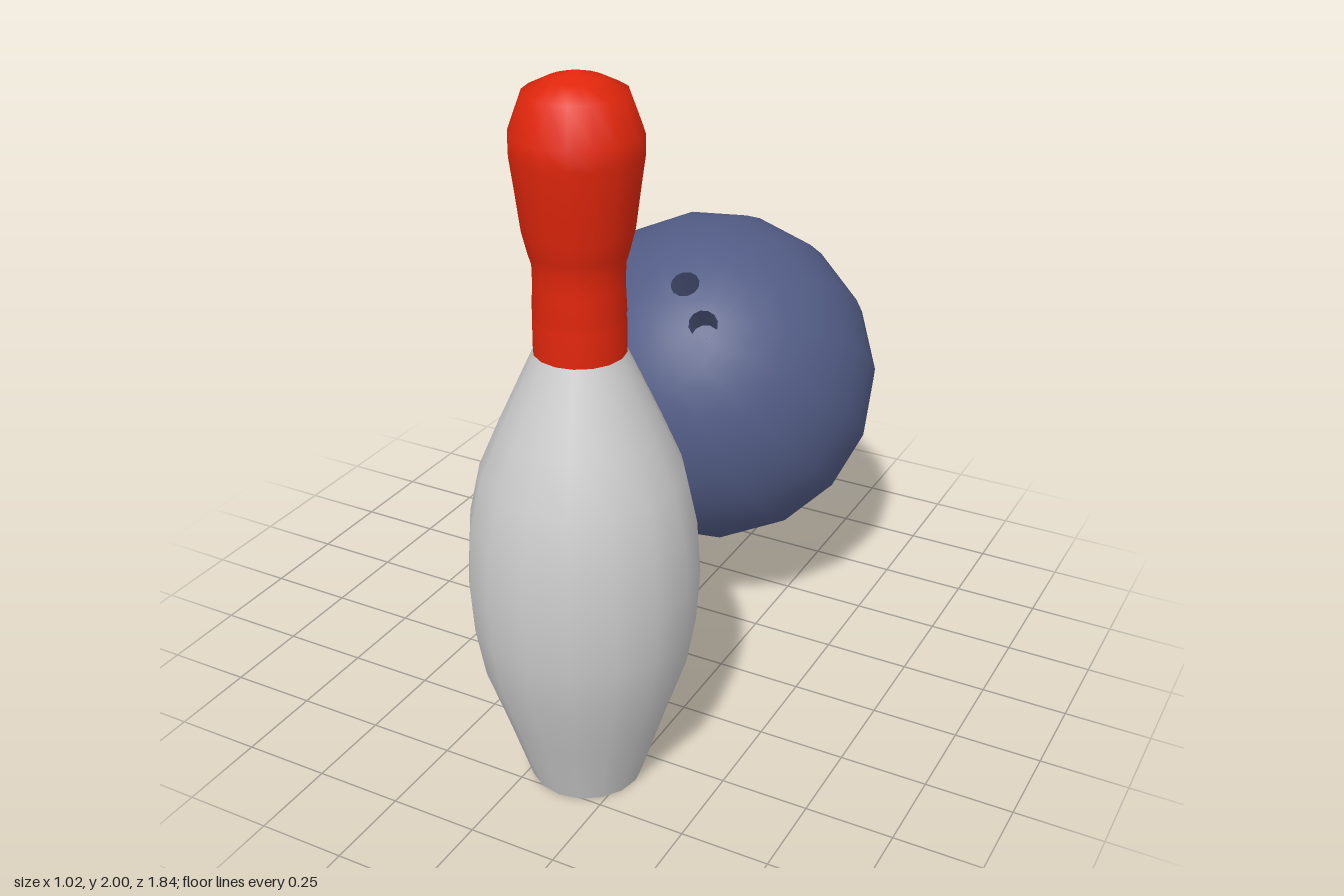
import * as THREE from 'three';
import { mergeGeometries, toCreasedNormals } from 'three/addons/utils/BufferGeometryUtils.js';

const RAD = Math.PI / 180;
const SIDES = 16;
const STEP = 22.5;          // degrees per column of the ball
const BAND = 11.25;         // degrees per ring of the ball
const FIRST = -5;           // azimuth of the first column
const R = 0.51;             // ball radius
const HOLE = 4.8;           // finger hole radius in degrees

const material = (color, side = THREE.FrontSide) =>
  new THREE.MeshStandardMaterial({ color, side });

function mesh(name, geometry, mat) {
  const m = new THREE.Mesh(geometry, mat);
  m.name = name;
  return m;
}

function lathe(profile, sides = SIDES) {
  return new THREE.LatheGeometry(profile.map(([r, y]) => new THREE.Vector2(r, y)), sides);
}

// Point of the flat polar chart: t degrees from the pole, at azimuth a
const polar = (t, a) => new THREE.Vector2(t * Math.cos(a * RAD), t * Math.sin(a * RAD));

// One piece of the ring around the pole, optionally pierced, wrapped on the sphere
function ringPatch(col, count, hole) {
  const outline = [];
  for (let i = 0; i <= count; i++) outline.push(polar(2 * BAND, FIRST + (col + i) * STEP));
  for (let i = count; i >= 0; i--) outline.push(polar(BAND, FIRST + (col + i) * STEP));
  const shape = new THREE.Shape(outline);
  if (hole) {
    const c = polar(hole.t, hole.a);
    const rim = [];
    for (let i = 0; i < 12; i++) rim.push(polar(HOLE, -i * 30).add(c));
    shape.holes.push(new THREE.Path(rim));
  }
  const geo = new THREE.ShapeGeometry(shape);
  const pos = geo.attributes.position, nor = geo.attributes.normal;
  for (let i = 0; i < pos.count; i++) {
    const x = pos.getX(i), y = pos.getY(i);
    const d = Math.hypot(x, y), s = Math.sin(d * RAD) / d;
    nor.setXYZ(i, x * s, Math.cos(d * RAD), -y * s);
    pos.setXYZ(i, R * x * s, R * Math.cos(d * RAD), -R * y * s);
  }
  return geo;
}

function createBall() {
  const ball = new THREE.Group();
  ball.name = 'ball';
  const blue = material(0x525c85);
  const lining = material(0x525c85, THREE.DoubleSide);

  const holes = [
    { t: 16.9, a: 13, col: 0, count: 2 },
    { t: 16.9, a: 70, col: 2, count: 3 },
    { t: 16.9, a: 220, col: 9, count: 2 },
  ];

  // Shell: polar cap, pierced ring and the remaining sphere
  const start = (180 + FIRST) * RAD;
  const parts = [
    new THREE.SphereGeometry(R, SIDES, 1, start, Math.PI * 2, 0, BAND * RAD),
    new THREE.SphereGeometry(R, SIDES, 14, start, Math.PI * 2, 2 * BAND * RAD, (180 - 2 * BAND) * RAD),
  ];
  for (const h of holes) parts.push(ringPatch(h.col, h.count, h));
  for (const [col, count] of [[5, 4], [11, 5]])
    for (let i = 0; i < count; i++) parts.push(ringPatch(col + i, 1));
  ball.add(mesh('ballShell', mergeGeometries(parts), blue));

  // Finger holes: wall and floor sunk into the shell
  const r = R * Math.sin(HOLE * RAD), rim = R * Math.cos(HOLE * RAD);
  const well = toCreasedNormals(lathe([[r, rim], [r, rim - 0.14], [0, rim - 0.14]], 12), 0.8);
  for (const h of holes) {
    const m = mesh('fingerHole', well, lining);
    const s = Math.sin(h.t * RAD);
    const dir = new THREE.Vector3(s * Math.cos(h.a * RAD), Math.cos(h.t * RAD), -s * Math.sin(h.a * RAD));
    m.quaternion.setFromUnitVectors(new THREE.Vector3(0, 1, 0), dir);
    ball.add(m);
  }

  // Tip the pole, with its holes, up and to the front
  ball.rotation.x = 0.876;
  ball.position.set(0, 0.755, -0.41);
  return ball;
}

function createPin() {
  const pin = new THREE.Group();
  pin.name = 'pin';
  const grey = material(0xcccccc);
  const red = material(0xe0260c);

  // Belly
  pin.add(mesh('pinBody', lathe([
    [0.155, 0], [0.22, 0.2], [0.275, 0.36], [0.3, 0.5], [0.31, 0.65],
    [0.3, 0.8], [0.27, 0.94], [0.215, 1.07], [0.17, 1.17], [0.12, 1.28],
  ]), grey));

  // Flat foot
  const foot = mesh('pinBase', new THREE.CircleGeometry(0.155, SIDES), grey);
  foot.rotation.x = Math.PI / 2;
  pin.add(foot);

  // Neck with its shallow grooves, and head
  pin.add(mesh('pinNeckAndHead', lathe([
    [0.12, 1.28], [0.12, 1.37], [0.115, 1.38], [0.12, 1.39], [0.117, 1.46],
    [0.118, 1.52], [0.127, 1.55], [0.142, 1.61], [0.156, 1.72], [0.167, 1.8],
    [0.166, 1.85], [0.13, 1.95], [0.07, 1.98], [0, 2],
  ]), red));

  pin.position.set(0.13, 0, 0.61);
  return pin;
}

export function createModel() {
  const model = new THREE.Group();
  model.name = 'bowlingSet';
  model.add(createBall(), createPin());
  return model;
}
